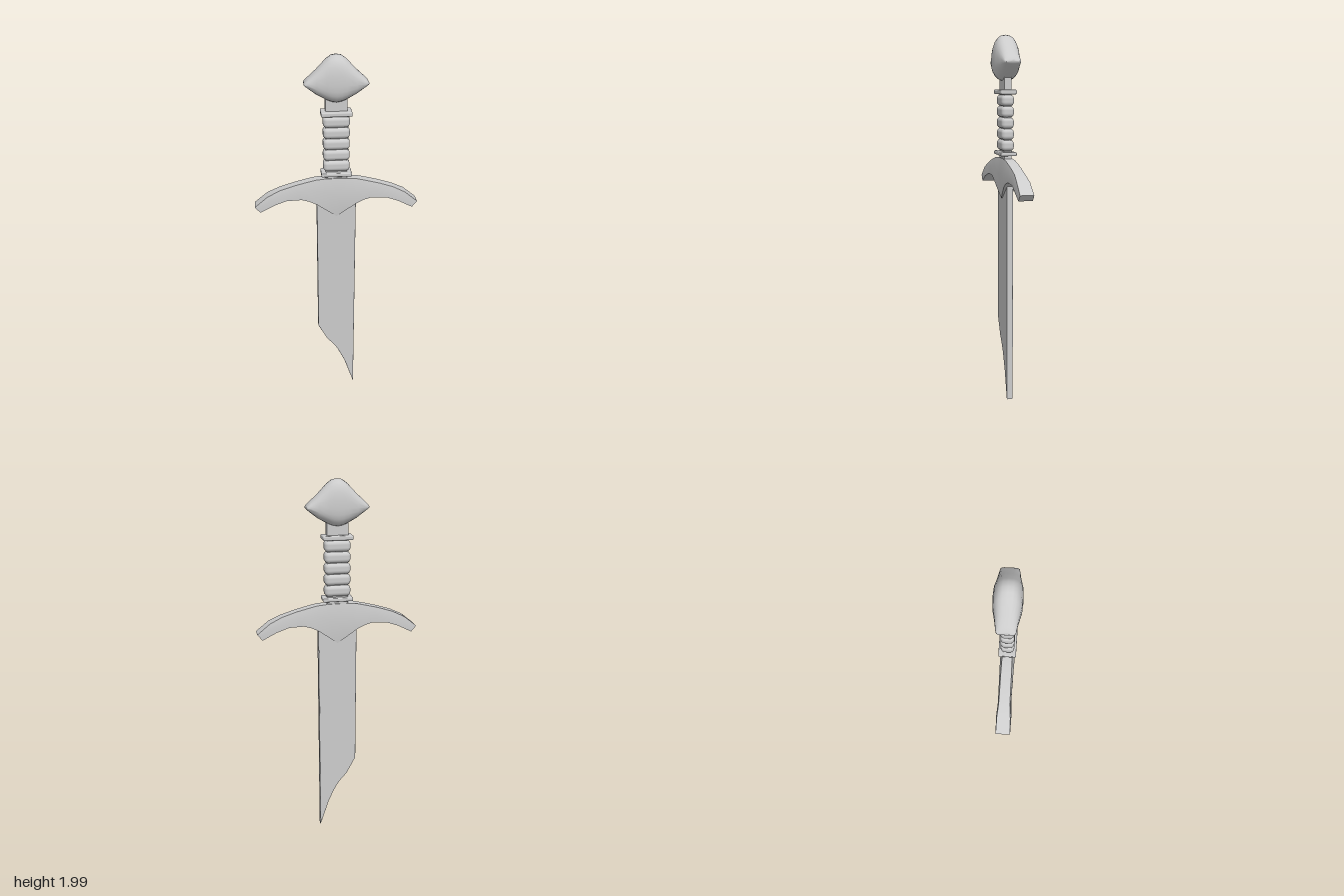
import * as THREE from 'three';
import { toCreasedNormals } from 'three/addons/utils/BufferGeometryUtils.js';
import { RoundedBoxGeometry } from 'three/addons/geometries/RoundedBoxGeometry.js';

const material = new THREE.MeshStandardMaterial({ color: 0xcccccc });

// Skin a row of closed loops that run along +x, and cap both ends
function loft(loops, crease) {
  const n = loops[0].length, pos = [], idx = [];
  loops.forEach(l => l.forEach(p => pos.push(...p)));
  for (let i = 0; i < loops.length - 1; i++) {
    for (let j = 0; j < n; j++) {
      const a = i * n + j, b = i * n + (j + 1) % n;
      idx.push(a, b, b + n, a, b + n, a + n);
    }
  }
  const last = (loops.length - 1) * n;
  for (let j = 1; j < n - 1; j++) {
    idx.push(0, j + 1, j, last, last + j, last + j + 1);
  }
  const geo = new THREE.BufferGeometry();
  geo.setAttribute('position', new THREE.Float32BufferAttribute(pos, 3));
  geo.setIndex(idx);
  return toCreasedNormals(geo, crease);
}

// Complete a half profile (first entry at x = 0) to both sides
function mirrored(half, flip) {
  return [...half.slice(1).reverse().map(flip), ...half];
}

export function createModel() {
  const model = new THREE.Group();
  const add = (name, geo, y = 0, parent = model) => {
    const mesh = new THREE.Mesh(geo, material);
    mesh.name = name;
    mesh.position.y = y;
    parent.add(mesh);
    return mesh;
  };

  // Broken-looking single-edged blade with slightly eased edges
  const e = 0.004;
  const outline = [[-0.105, 1.27], [-0.105, 0.43], [-0.055, 0.335], [-0.02, 0.295], [0.005, 0.26],
    [0.025, 0.22], [0.05, 0.165], [0.102, 0.008], [0.105, 1.27]];
  const shape = new THREE.Shape(outline.map(p => new THREE.Vector2(...p)));
  const blade = new THREE.ExtrudeGeometry(shape, {
    depth: 0.034 - 2 * e, bevelThickness: e, bevelSize: e, bevelOffset: -e, bevelSegments: 2,
  });
  blade.translate(0, 0, -0.017 + e);
  add('blade', blade);

  // Drooping guard: top x, top y, bottom x, bottom y, top z, shoulder z, bottom z
  const guardHalf = [
    [0, 1.355, 0, 1.135, 0.024, 0.037, 0.022],
    [0.06, 1.354, 0.05, 1.172, 0.025, 0.037, 0.029],
    [0.11, 1.35, 0.105, 1.212, 0.026, 0.036, 0.034],
    [0.17, 1.336, 0.145, 1.232, 0.027, 0.035, 0.035],
    [0.225, 1.322, 0.185, 1.243, 0.027, 0.034, 0.034],
    [0.3, 1.298, 0.265, 1.24, 0.028, 0.033, 0.033],
    [0.365, 1.267, 0.33, 1.219, 0.034, 0.038, 0.038],
    [0.433, 1.212, 0.406, 1.18, 0.036, 0.037, 0.037],
  ];
  const guardLoops = mirrored(guardHalf, s => [-s[0], s[1], -s[2], ...s.slice(3)])
    .map(([xt, yt, xb, yb, zt, zm, zb]) => {
      const xm = xt + (xb - xt) * 0.4, ym = yt + (yb - yt) * 0.4;
      return [[xt, yt, zt], [xm, ym, zm], [xb, yb, zb], [xb, yb, -zb], [xm, ym, -zm], [xt, yt, -zt]];
    });
  add('guard', loft(guardLoops, 0.5));

  // Tang running through the grip into the pommel
  add('tang', new THREE.BoxGeometry(0.112, 0.48, 0.038), 1.57);

  // Wrapped grip made of rounded bands
  const grip = new THREE.Group();
  grip.name = 'grip';
  model.add(grip);
  for (let i = 0; i < 5; i++) {
    add('gripBand', new RoundedBoxGeometry(0.138, 0.06, 0.068, 4, 0.022), 1.425 + i * 0.059, grip);
  }

  // Collars above and below the grip
  add('lowerCollar', new RoundedBoxGeometry(0.16, 0.02, 0.088, 2, 0.006), 1.38);
  add('upperCollar', new RoundedBoxGeometry(0.16, 0.024, 0.088, 2, 0.007), 1.705);

  // Cushion-shaped pommel: x, top y, bottom y, half depth
  const pommelHalf = [
    [0, 2.0, 1.762, 0.068],
    [0.025, 1.996, 1.766, 0.067],
    [0.05, 1.978, 1.776, 0.065],
    [0.1, 1.925, 1.803, 0.054],
    [0.14, 1.888, 1.834, 0.047],
    [0.157, 1.871, 1.848, 0.043],
    [0.162, 1.862, 1.854, 0.036],
  ];
  const pow = v => Math.sign(v) * Math.abs(v) ** 0.8;
  const pommelLoops = mirrored(pommelHalf, s => [-s[0], ...s.slice(1)]).map(([x, top, bottom, depth]) =>
    Array.from({ length: 24 }, (_, k) => {
      const a = (k / 24) * Math.PI * 2, c = pow(Math.cos(a));
      return [x, 1.858 + c * (c > 0 ? top - 1.858 : 1.858 - bottom), depth * pow(Math.sin(a))];
    }));
  add('pommel', loft(pommelLoops, 0.8));

  return model;
}
